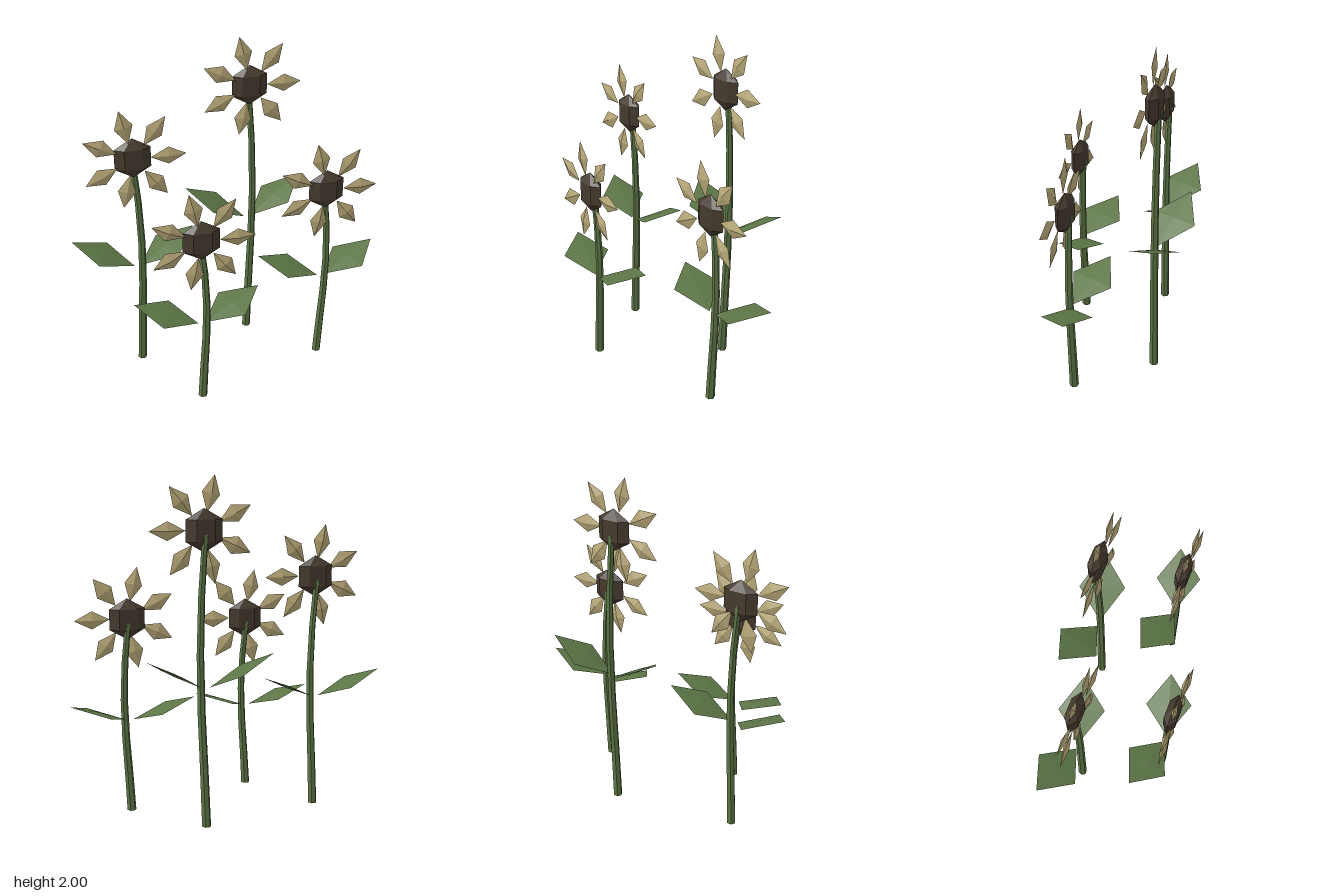
import * as THREE from 'three';

const material = (name, color) => {
  const m = new THREE.MeshStandardMaterial({ color, flatShading: true });
  m.name = name;
  return m;
};

const V = (x, y, z) => new THREE.Vector3(x, y, z);

function addMesh(parent, name, geometry, mat) {
  const mesh = new THREE.Mesh(geometry, mat);
  mesh.name = name;
  parent.add(mesh);
  return mesh;
}

// Flat eight-faced blade: u and v are its half axes
function blade(center, u, v, thickness) {
  const w = u.clone().cross(v).normalize().multiplyScalar(thickness);
  const matrix = new THREE.Matrix4().makeBasis(u, v, w).setPosition(center);
  return new THREE.OctahedronGeometry(1, 0).applyMatrix4(matrix);
}

// Tapered six-sided stem that bows sideways
function stemGeometry(height) {
  const g = new THREE.CylinderGeometry(0.018, 0.027, height, 6, 5);
  g.rotateY(Math.PI / 6);
  g.translate(0, height / 2, 0);
  const p = g.attributes.position;
  for (let i = 0; i < p.count; i++) {
    const t = THREE.MathUtils.clamp(p.getY(i) / height, 0, 1);
    p.setX(i, p.getX(i) + 0.032 * Math.sin(Math.PI * Math.pow(t, 1.3)));
  }
  g.computeVertexNormals();
  return g;
}

// Diamond leaf; rise follows the height of the plant
function leafGeometry(side, height) {
  const root = V(side * 0.02, 0.484 * height, 0);
  const tip = V(side * 0.368, 0.6 * height, -0.1);
  const front = V(side * 0.235, 0.543 * height, 0.083);
  const back = V(side * 0.148, 0.541 * height, -0.183);
  const center = root.clone().add(tip).multiplyScalar(0.5);
  const u = tip.clone().sub(root).multiplyScalar(0.5);
  const v = front.clone().sub(back).multiplyScalar(0.5);
  return blade(center, u, v, 0.008);
}

export function createModel() {
  const green = material('leaf green', 0x5c7546);
  const tan = material('petal tan', 0xb8a878);
  const brown = material('seed brown', 0x453a2e);

  const model = new THREE.Group();
  model.name = 'flowers';

  // x, z and height of each flower
  const plants = [
    [-0.54, -0.11, 1.4],
    [-0.27, 0.357, 1.085],
    [0.19, -0.26, 1.7],
    [0.54, 0.125, 1.165],
  ];

  for (const [x, z, height] of plants) {
    const plant = new THREE.Group();
    plant.name = 'flower';
    plant.position.set(x, 0, z);
    model.add(plant);

    addMesh(plant, 'stem', stemGeometry(height - 0.02), green);
    addMesh(plant, 'leftLeaf', leafGeometry(1, height), green);
    addMesh(plant, 'rightLeaf', leafGeometry(-1, height), green);

    // Flattened faceted seed head
    const head = addMesh(plant, 'seedHead', new THREE.SphereGeometry(0.121, 6, 3), brown);
    head.scale.z = 0.4;
    head.position.set(0, height, 0.022);

    // Ring of seven petals
    const petals = new THREE.Group();
    petals.name = 'petals';
    petals.position.set(0, height, 0.04);
    plant.add(petals);
    for (let i = 0; i < 7; i++) {
      const petal = addMesh(petals, 'petal', blade(V(0.203, 0, 0), V(0.103, 0, 0), V(0, 0.053, 0), 0.017), tan);
      petal.rotation.z = (i / 7) * Math.PI * 2;
    }
  }
  return model;
}
